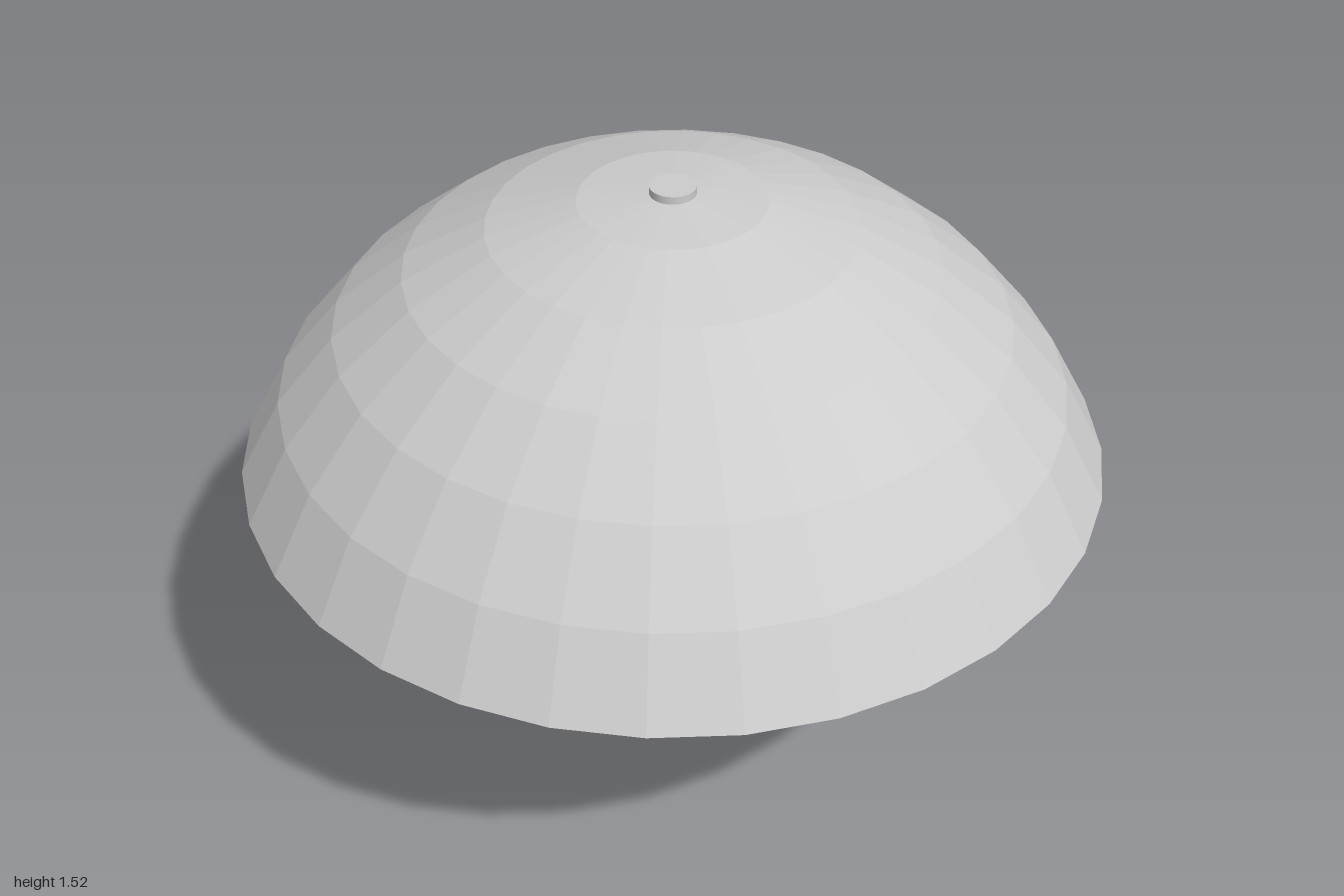
import * as THREE from 'three';

export function createModel() {
  const model = new THREE.Group();
  const canopyGrey = new THREE.MeshStandardMaterial({ color: 0xcccccc, flatShading: true, side: THREE.DoubleSide });
  canopyGrey.name = 'light grey';
  const poleGrey = new THREE.MeshStandardMaterial({ color: 0xcccccc });
  poleGrey.name = 'pole light grey';

  // Canopy: open, faceted spherical cap, one unit wide at the rim
  const top = 1.51, rim = 0.85, drop = top - rim;
  const radius = (1 + drop * drop) / (2 * drop);
  const canopy = new THREE.Mesh(
    new THREE.SphereGeometry(radius, 32, 6, 0, Math.PI * 2, 0, Math.asin(1 / radius)),
    canopyGrey
  );
  canopy.name = 'canopy';
  canopy.position.y = top - radius;
  model.add(canopy);

  // Pole: runs from the ground and pokes just through the canopy
  const height = 1.523;
  const pole = new THREE.Mesh(new THREE.CylinderGeometry(0.052, 0.052, height, 32), poleGrey);
  pole.name = 'pole';
  pole.position.y = height / 2;
  model.add(pole);

  return model;
}
